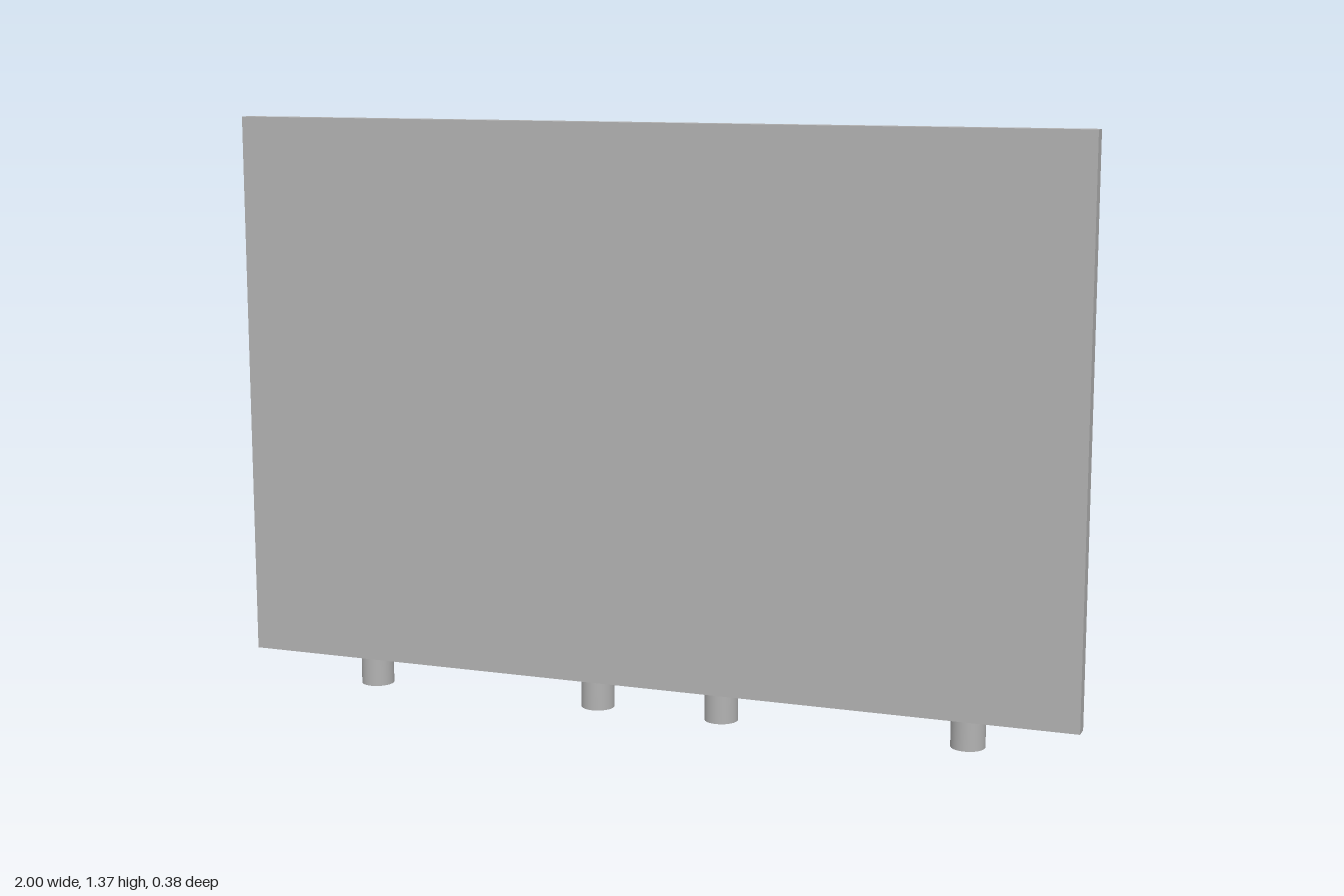
import * as THREE from 'three';

export function createModel() {
  const model = new THREE.Group();
  const grey = new THREE.MeshStandardMaterial({ color: 0xb2b2b2 });
  grey.name = 'grey';

  // Box given by its minimum and maximum on each axis
  function box(name, [x0, x1], [y0, y1], [z0, z1], parent = model) {
    const mesh = new THREE.Mesh(new THREE.BoxGeometry(x1 - x0, y1 - y0, z1 - z0), grey);
    mesh.position.set((x0 + x1) / 2, (y0 + y1) / 2, (z0 + z1) / 2);
    mesh.name = name;
    parent.add(mesh);
  }

  // Upright round pin
  function pin(name, x, z, radius, y0, y1, parent) {
    const mesh = new THREE.Mesh(new THREE.CylinderGeometry(radius, radius, y1 - y0, 32), grey);
    mesh.position.set(x, (y0 + y1) / 2, z);
    mesh.name = name;
    parent.add(mesh);
  }

  // Stepped housing
  box('frontPanel', [-1, 1], [0.09, 1.37], [0.154, 0.19]);
  box('body', [-0.95, 0.95], [0.13, 1.33], [-0.073, 0.154]);
  box('backPlate', [-0.913, 0.913], [0.167, 1.293], [-0.1, -0.073]);
  box('bottomPlate', [-0.886, 0.886], [0.104, 0.13], [-0.047, 0.127]);

  // Grid of blocks on the back
  const blocks = new THREE.Group();
  blocks.name = 'backBlocks';
  model.add(blocks);
  for (let row = 0; row < 6; row++) {
    for (let col = 0; col < 10; col++) {
      const x = (col - 4.5) * 0.183;
      const y = 0.256 + row * 0.19;
      box('backBlock', [x - 0.05, x + 0.05], [y - 0.05, y + 0.05], [-0.19, -0.1], blocks);
    }
  }

  // Two connectors underneath, each with a socket, two screws and two pins
  for (const centre of [-0.445, 0.442]) {
    const connector = new THREE.Group();
    connector.name = 'connector';
    connector.position.x = centre;
    model.add(connector);
    box('socket', [-0.19, 0.19], [0.06, 0.104], [-0.015, 0.08], connector);
    for (const side of [-1, 1]) {
      pin('screw', side * 0.29, 0.077, 0.039, 0, 0.104, connector);
      pin('guidePin', side * 0.244, 0.042, 0.027, 0.052, 0.104, connector);
    }
  }

  return model;
}
